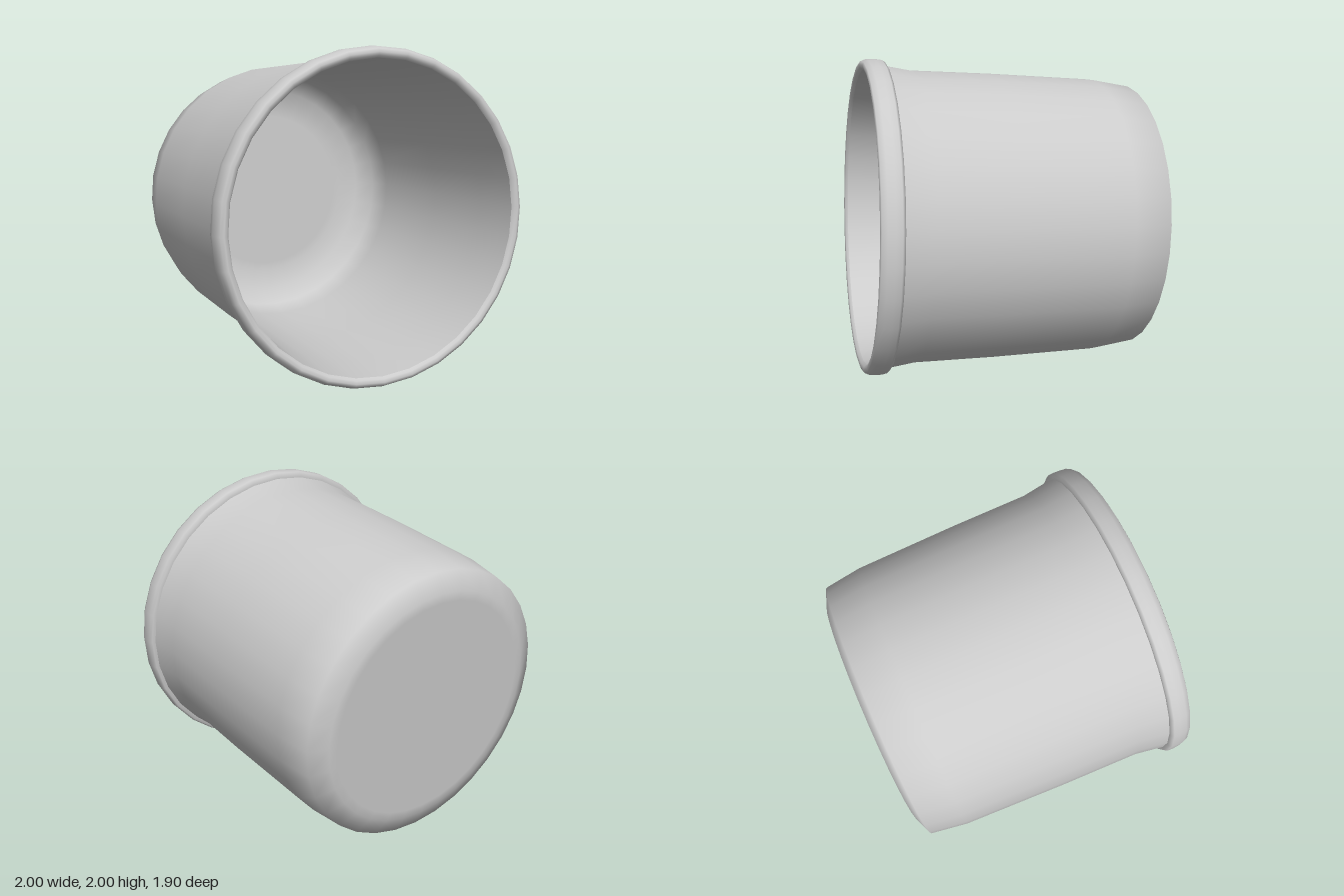
import * as THREE from 'three';

const SEGMENTS = 32;
const TILT = 0.061;

// Each profile runs [radius, distance along the axis]
const PROFILES = {
  // closed base, rounded heel and slightly flared wall
  outerWall: [[0, -0.906], [0.7, -0.906], [0.755, -0.904], [0.872, -0.857], [0.907, -0.62],
    [0.927, 0.05], [0.934, 0.568], [0.963, 0.755]],
  // rounded lip around the mouth
  rim: [[0.955, 0.755], [0.985, 0.755], [0.998, 0.772], [1.0, 0.81], [0.996, 0.855],
    [0.982, 0.886], [0.962, 0.893], [0.942, 0.887], [0.93, 0.87]],
  // inside wall curving into a flat floor
  innerWall: [[0.93, 0.87], [0.912, 0.568], [0.9, 0.05], [0.882, -0.6], [0.845, -0.75],
    [0.74, -0.83], [0.6, -0.852], [0.55, -0.853], [0, -0.853]],
};

export function createModel() {
  const model = new THREE.Group();
  const cup = new THREE.Group();
  cup.name = 'cup';
  const material = new THREE.MeshStandardMaterial({ color: 0xcccccc, side: THREE.DoubleSide });

  for (const [name, profile] of Object.entries(PROFILES)) {
    const points = profile.map(([r, t]) => new THREE.Vector2(r, t));
    const mesh = new THREE.Mesh(new THREE.LatheGeometry(points, SEGMENTS), material);
    mesh.name = name;
    cup.add(mesh);
  }

  // Lay the cup on its side, mouth forward and tipped slightly up
  cup.rotation.x = Math.PI / 2 - TILT;
  cup.position.y = 0.953;
  model.add(cup);
  return model;
}
